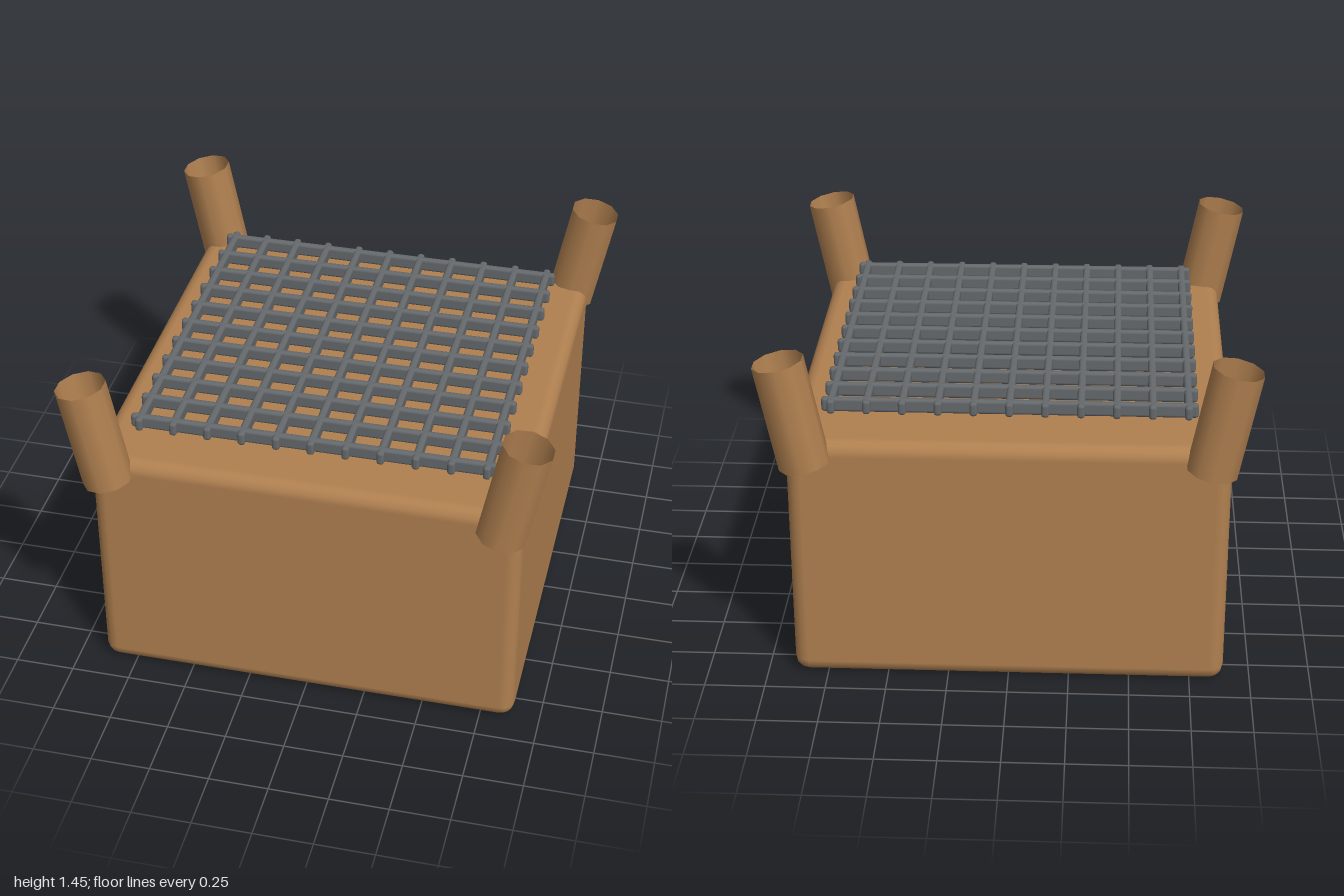
import * as THREE from 'three';
import { RoundedBoxGeometry } from 'three/addons/geometries/RoundedBoxGeometry.js';

export function createModel() {
  const model = new THREE.Group();
  model.name = 'gratedCrate';
  const wood = new THREE.MeshStandardMaterial({ color: 0xb08050 });
  const woodOpen = new THREE.MeshStandardMaterial({ color: 0xb08050, side: THREE.DoubleSide });
  const iron = new THREE.MeshStandardMaterial({ color: 0x65696c });

  const add = (parent, name, geometry, material, x, y, z) => {
    const mesh = new THREE.Mesh(geometry, material);
    mesh.name = name;
    mesh.position.set(x, y, z);
    parent.add(mesh);
    return mesh;
  };

  // Solid body with softened edges
  add(model, 'body', new RoundedBoxGeometry(1.78, 1.07, 1.78, 2, 0.06), wood, 0, 0.535, 0);

  // Open tubes on the corners, leaning outwards to the sides
  const postGeometry = new THREE.CylinderGeometry(0.105, 0.105, 0.452, 10, 1, true);
  for (const sx of [-1, 1]) {
    for (const sz of [-1, 1]) {
      const name = (sz > 0 ? 'front' : 'back') + (sx > 0 ? 'Left' : 'Right') + 'Post';
      const post = add(model, name, postGeometry, woodOpen, sx * 0.851, 1.207, sz * 0.895);
      post.rotation.z = -sx * 0.196;
    }
  }

  // Grate of crossing bars floating above the body
  const grate = new THREE.Group();
  grate.name = 'grate';
  grate.position.y = 1.164;
  model.add(grate);
  const barGeometry = new RoundedBoxGeometry(1.51, 0.06, 0.032, 2, 0.013);
  for (let i = -5; i <= 5; i++) {
    const offset = i * 0.143;
    add(grate, 'crossBar', barGeometry, iron, 0, 0, offset);
    add(grate, 'longBar', barGeometry, iron, offset, 0, 0).rotation.y = Math.PI / 2;
  }
  return model;
}
